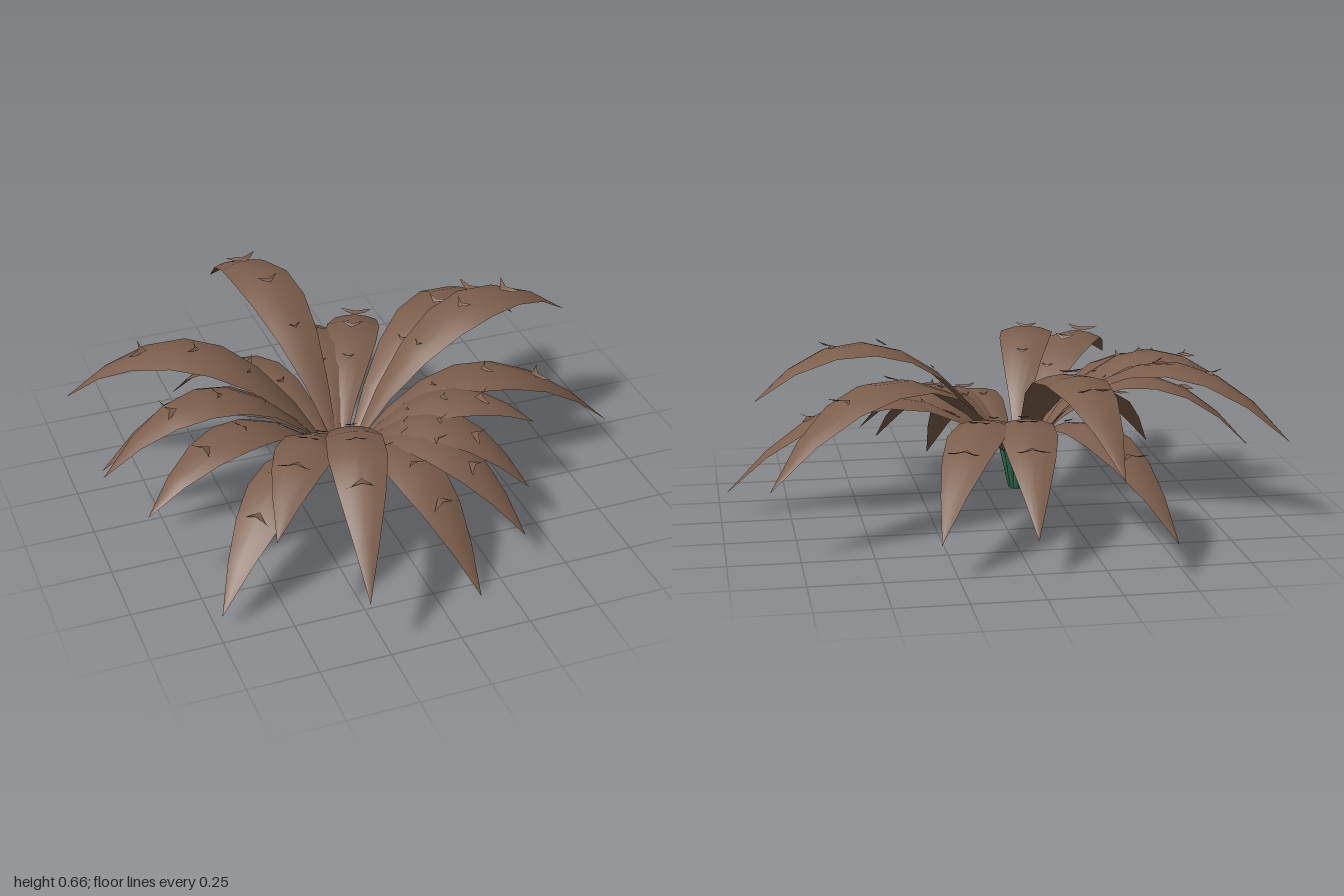
import * as THREE from 'three';

const CENTER = new THREE.Vector3(-0.09, 0, 0.09);
const BASE_Y = 0.2;

// Each leaf: tip x, tip z, tip height, crest height, greatest half width
const LEAVES = [
  [-0.25, -1.00, 0.38, 0.62, 0.11], [-0.01, -0.80, 0.13, 0.42, 0.10],
  [0.31, -0.79, 0.13, 0.42, 0.10], [0.85, -0.51, 0.25, 0.55, 0.12],
  [0.88, -0.13, 0.47, 0.65, 0.11], [0.98, 0.09, 0.08, 0.42, 0.105],
  [0.56, 0.32, 0.31, 0.42, 0.10], [0.45, 0.53, 0.19, 0.40, 0.10],
  [0.37, 0.69, 0.11, 0.38, 0.10], [0.15, 0.82, 0.00, 0.36, 0.10],
  [-0.32, 0.99, 0.22, 0.56, 0.10], [-0.57, 0.80, 0.40, 0.54, 0.105],
  [-0.73, 0.68, 0.05, 0.37, 0.10], [-0.90, 0.43, 0.33, 0.50, 0.10],
  [-0.98, 0.14, 0.32, 0.55, 0.10], [-0.94, -0.06, 0.21, 0.48, 0.10],
  [-0.98, -0.41, 0.32, 0.57, 0.11], [-0.51, -0.70, 0.06, 0.38, 0.10],
];

// Half width along the blade, as a share of the greatest
const OUTLINE = [0.08, 0.42, 0.74, 0.96, 1, 0.8, 0.45, 0];

function surface(positions, index) {
  const geo = new THREE.BufferGeometry();
  geo.setAttribute('position', new THREE.Float32BufferAttribute(positions, 3));
  geo.setIndex(index);
  geo.computeVertexNormals();
  return geo;
}

// Arching midrib in the (distance, height) plane, cresting at the given height
function makeRib(length, tipY, crestY) {
  const control = crestY + Math.sqrt((crestY - BASE_Y) * (crestY - tipY));
  return new THREE.QuadraticBezierCurve(
    new THREE.Vector2(0.05, BASE_Y),
    new THREE.Vector2(length * 0.5, control),
    new THREE.Vector2(length, tipY));
}

// Blade runs along local +x, with a slight dome across
function makeBlade(rib, halfWidth) {
  const positions = [], index = [], cols = 4, rows = OUTLINE.length - 1;
  for (let i = 0; i <= rows; i++) {
    const p = rib.getPoint(i / rows);
    const w = OUTLINE[i] * halfWidth;
    for (let j = 0; j <= cols; j++) {
      const u = (j / cols) * 2 - 1;
      positions.push(p.x, p.y - 0.22 * w * u * u, u * w);
    }
  }
  const stride = cols + 1;
  for (let i = 0; i < rows; i++) {
    for (let j = 0; j < cols; j++) {
      const a = i * stride + j, b = a + stride;
      index.push(a, a + 1, b + 1);
      if (i < rows - 1) index.push(a, b + 1, b);
    }
  }
  return surface(positions, index);
}

// Small V-shaped barb: a point toward the stem and two wings toward the tip
function makeBarb(size) {
  const positions = [-0.14, 0, 0, 0.1, 0.1, 0, 0.3, 0.16, 0.55, 0.16, 0.04, 0.33,
    0.3, 0.16, -0.55, 0.16, 0.04, -0.33].map((v) => v * size);
  return surface(positions, [0, 3, 1, 3, 2, 1, 0, 1, 5, 5, 1, 4]);
}

export function createModel() {
  const leafBrown = new THREE.MeshStandardMaterial({ color: 0x7c5e4c, side: THREE.DoubleSide });
  const stemGreen = new THREE.MeshStandardMaterial({ color: 0x2f7052 });
  const model = new THREE.Group();
  model.name = 'plant';

  LEAVES.forEach(([x, z, tipY, crestY, halfWidth], n) => {
    const dx = x - CENTER.x, dz = z - CENTER.z;
    const rib = makeRib(Math.hypot(dx, dz), tipY, crestY);
    const leaf = new THREE.Group();
    leaf.name = `leaf${n + 1}`;
    leaf.position.copy(CENTER);
    leaf.rotation.y = Math.atan2(-dz, dx);

    const blade = new THREE.Mesh(makeBlade(rib, halfWidth), leafBrown);
    blade.name = 'blade';
    leaf.add(blade);

    // Barbs grow larger toward the tip
    [[0.3, 0.04], [0.5, 0.075], [0.7, 0.11]].forEach(([t, size]) => {
      const p = rib.getPoint(t), d = rib.getTangent(t);
      const barb = new THREE.Mesh(makeBarb(size), leafBrown);
      barb.name = 'barb';
      barb.position.set(p.x, p.y + 0.003, 0);
      barb.rotation.z = Math.atan2(d.y, d.x) * 0.8;
      leaf.add(barb);
    });
    model.add(leaf);
  });

  // Stem: a tapered core wrapped in outward-leaning stalks
  const core = new THREE.Mesh(new THREE.CylinderGeometry(0.035, 0.026, 0.13, 8), stemGreen);
  core.name = 'stemCore';
  core.position.set(CENTER.x, 0.12, CENTER.z);
  model.add(core);

  const up = new THREE.Vector3(0, 1, 0);
  const stalkCount = 9;
  for (let i = 0; i < stalkCount; i++) {
    const a = (i / stalkCount) * Math.PI * 2;
    const out = new THREE.Vector3(Math.cos(a), 0, Math.sin(a));
    const low = CENTER.clone().addScaledVector(out, 0.02).setY(0.058);
    const high = CENTER.clone().addScaledVector(out, 0.052).setY(i % 2 ? 0.235 : 0.21);
    const span = high.clone().sub(low);
    const stalk = new THREE.Mesh(
      new THREE.CylinderGeometry(0.012, 0.01, span.length(), 6), stemGreen);
    stalk.name = 'stalk';
    stalk.position.copy(low).add(high).multiplyScalar(0.5);
    stalk.quaternion.setFromUnitVectors(up, span.normalize());
    model.add(stalk);
  }
  return model;
}
